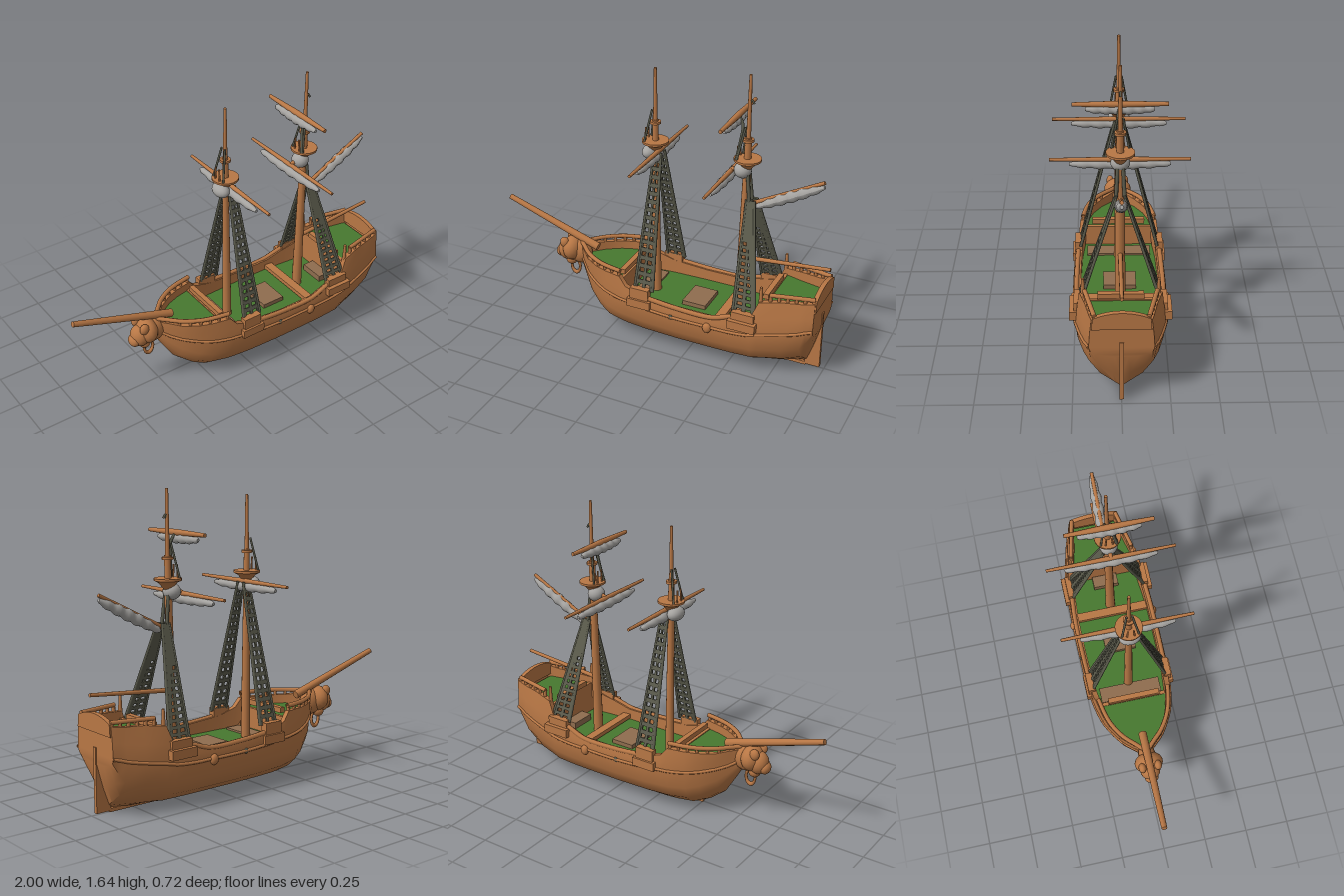
import * as THREE from 'three';
import { toCreasedNormals } from 'three/addons/utils/BufferGeometryUtils.js';

const material = (name, color, side = THREE.FrontSide) => {
  const m = new THREE.MeshStandardMaterial({ color, side });
  m.name = name;
  return m;
};
const V = (x, y, z) => new THREE.Vector3(x, y, z);

// Hull stations: x, rail half width, beam half width, beam y, keel y, rail y, sharpness
const STATIONS = [
  [-0.50, 0.02, 0.02, 0.36, 0.29, 0.42, 1], [-0.46, 0.065, 0.055, 0.33, 0.22, 0.42, 1],
  [-0.40, 0.125, 0.115, 0.31, 0.12, 0.41, 1.2], [-0.32, 0.175, 0.165, 0.29, 0.055, 0.41, 1],
  [-0.25, 0.20, 0.20, 0.28, 0.02, 0.41, 1], [-0.15, 0.22, 0.225, 0.27, 0.012, 0.41, 1],
  [-0.11, 0.227, 0.232, 0.27, 0.01, 0.36, 1], [0, 0.237, 0.242, 0.26, 0.01, 0.325, 1],
  [0.2, 0.242, 0.247, 0.25, 0.01, 0.31, 1], [0.42, 0.242, 0.247, 0.25, 0.01, 0.31, 1],
  [0.52, 0.235, 0.245, 0.25, 0.01, 0.34, 1], [0.64, 0.225, 0.24, 0.26, 0.01, 0.37, 1],
  [0.68, 0.215, 0.235, 0.27, 0.01, 0.465, 1.2], [0.80, 0.185, 0.21, 0.29, 0.012, 0.48, 1.6],
  [0.90, 0.165, 0.185, 0.31, 0.03, 0.485, 2.4], [0.93, 0.16, 0.175, 0.32, 0.12, 0.49, 2],
  [0.97, 0.15, 0.165, 0.33, 0.27, 0.495, 1]];
const BILGE = [[0.95, 0.6], [0.8, 0.32], [0.5, 0.12], [0.2, 0.03], [0, 0]];

function halfSection([, wt, w, ym, yk, yr, p]) {
  const wi = Math.max(wt - 0.03, 0.002);
  return [[wi, yr - 0.13], [wi, yr], [wt, yr], [(wt + w) / 2 + 0.002, (yr + ym) / 2], [w, ym],
    ...BILGE.map(([f, h]) => [w * f ** p, yk + (ym - yk) * h])];
}

function hullGeometry() {
  const pos = [], index = [];
  let n = 0;
  STATIONS.forEach((s, i) => {
    const half = halfSection(s);
    const ring = [...half, ...half.slice(0, -1).reverse().map(([z, y]) => [-z, y])];
    n = ring.length;
    ring.forEach(([z, y]) => pos.push(s[0], y, z));
    if (i) for (let j = 0; j < n - 1; j++) {
      const a = (i - 1) * n + j, b = a + n;
      index.push(a, a + 1, b, b, a + 1, b + 1);
    }
  });
  // transom closes the last section
  const o = (STATIONS.length - 1) * n, mid = (n - 1) / 2;
  for (let j = 2; j < mid; j++) {
    const a = o + j, b = o + n - 1 - j;
    index.push(a, a + 1, b);
    if (j < mid - 1) index.push(b, a + 1, b - 1);
  }
  const g = new THREE.BufferGeometry();
  g.setAttribute('position', new THREE.Float32BufferAttribute(pos, 3));
  g.setIndex(index);
  return toCreasedNormals(g, 0.75);
}

function railWidth(x) {
  const i = Math.max(1, STATIONS.findIndex(s => s[0] >= x));
  const a = STATIONS[i - 1], b = STATIONS[i];
  return THREE.MathUtils.lerp(a[1], b[1], (x - a[0]) / (b[0] - a[0]));
}

export function createModel() {
  const ship = new THREE.Group();
  ship.name = 'sailingShip';
  const wood = material('wood', 0xb87745, THREE.DoubleSide);
  const green = material('deckGreen', 0x47782f);
  const canvas = material('canvas', 0xa5a3a0);
  const rope = material('rope', 0x5b5b4c);
  const hatchWood = material('hatchWood', 0x8f6d4e);

  const add = (name, geo, mat, x = 0, y = 0, z = 0) => {
    const m = new THREE.Mesh(geo, mat);
    m.name = name;
    m.position.set(x, y, z);
    ship.add(m);
    return m;
  };
  const box = (name, mat, w, h, d, x, y, z) => add(name, new THREE.BoxGeometry(w, h, d), mat, x, y, z);
  const orient = (m, a, b) => {
    m.position.copy(a).add(b).multiplyScalar(0.5);
    m.quaternion.setFromUnitVectors(V(0, 1, 0), b.clone().sub(a).normalize());
  };
  const rod = (name, mat, a, b, ra, rb = ra) =>
    orient(add(name, new THREE.CylinderGeometry(rb, ra, a.distanceTo(b), 10), mat), a, b);
  const tube = (name, mat, pts, r) =>
    add(name, new THREE.TubeGeometry(new THREE.CatmullRomCurve3(pts), 40, r, 7), mat);
  const ball = (name, mat, x, y, z, sx, sy, sz) =>
    add(name, new THREE.SphereGeometry(1, 18, 12), mat, x, y, z).scale.set(sx, sy, sz);

  // Furled sail: a lumpy tapering roll
  function furledSail(name, a, b, r) {
    const len = a.distanceTo(b);
    const g = new THREE.CylinderGeometry(r, r, len, 12, 28);
    const p = g.attributes.position;
    for (let i = 0; i < p.count; i++) {
      const t = THREE.MathUtils.clamp(p.getY(i) / len + 0.5, 0, 1);
      const k = (0.3 + 0.7 * Math.sqrt(Math.max(0, Math.sin(Math.PI * t)))) * (1 + 0.13 * Math.sin(t * 38));
      p.setX(i, p.getX(i) * k);
      p.setZ(i, p.getZ(i) * k);
    }
    g.computeVertexNormals();
    orient(add(name, g, canvas), a, b);
  }

  // Hull, rudder and trim
  add('hull', hullGeometry(), wood);
  box('rudder', wood, 0.085, 0.35, 0.022, 0.933, 0.185, 0);
  box('keel', wood, 1.15, 0.02, 0.02, 0.32, 0.012, 0);
  const taffrail = new THREE.Shape();
  taffrail.moveTo(-0.15, 0.44);
  taffrail.lineTo(0.15, 0.44);
  taffrail.lineTo(0.145, 0.505);
  taffrail.quadraticCurveTo(0, 0.57, -0.145, 0.505);
  const taffGeo = new THREE.ExtrudeGeometry(taffrail, { depth: 0.025, bevelEnabled: false });
  add('taffrail', taffGeo.rotateY(Math.PI / 2), wood, 0.952);
  for (const s of [-1, 1]) {
    tube('wale', wood, STATIONS.map(q => V(q[0], q[3], s * q[2])), 0.009);
    tube('bulwarkCap', wood, STATIONS.slice(7, 12).map(q => V(q[0], q[5], s * (q[1] - 0.008))), 0.014);
    // fore railing
    const line = STATIONS.slice(0, 6).map(q => V(q[0], 0.437, s * Math.max(q[1] - 0.015, 0.01)));
    tube('foreRail', wood, line, 0.013);
    for (let i = 0; i < 6; i++) {
      const x = -0.41 + i * 0.05, z = s * (railWidth(x) - 0.015);
      rod('forePost', wood, V(x, 0.39, z), V(x, 0.44, z), 0.009);
    }
    // stern railing
    rod('sternRail', wood, V(0.73, 0.508, s * 0.185), V(0.965, 0.512, s * 0.135), 0.012);
    for (let i = 0; i < 6; i++) {
      const x = 0.735 + i * 0.045, z = s * (0.184 - i * 0.0095);
      rod('sternPost', wood, V(x, 0.46, z), V(x, 0.51, z), 0.01);
    }
    rod('cornerPost', wood, V(0.685, 0.42, s * 0.195), V(0.685, 0.55, s * 0.195), 0.014, 0.008);
    // channels holding the shrouds, and small side fittings
    box('foreChannel', wood, 0.14, 0.05, 0.05, -0.015, 0.285, s * 0.235);
    box('foreChannelBlock', wood, 0.11, 0.07, 0.04, -0.015, 0.34, s * 0.228);
    box('mainChannel', wood, 0.16, 0.05, 0.06, 0.6, 0.315, s * 0.238);
    box('mainChannelBlock', wood, 0.13, 0.06, 0.04, 0.6, 0.355, s * 0.225);
    for (const x of [0.18, 0.39]) ball('sidePort', rope, x, 0.25, s * 0.247, 0.015, 0.015, 0.008);
    ball('sideFender', wood, 0.40, 0.245, s * 0.25, 0.025, 0.03, 0.018);
  }

  // Decks and bulkheads
  function deck(name, x0, x1, y) {
    const pts = [];
    for (let i = 0; i <= 12; i++) {
      const x = x0 + (x1 - x0) * i / 12;
      pts.push(new THREE.Vector2(x, Math.max(railWidth(x) - 0.02, 0.005)));
    }
    const shape = new THREE.Shape([...pts, ...pts.map(p => new THREE.Vector2(p.x, -p.y)).reverse()]);
    const g = new THREE.ExtrudeGeometry(shape, { depth: 0.01, bevelEnabled: false });
    add(name, g.rotateX(-Math.PI / 2), green, 0, y - 0.01);
  }
  deck('foreDeck', -0.46, -0.17, 0.36);
  deck('mainDeck', -0.17, 0.69, 0.245);
  deck('sternDeck', 0.69, 0.955, 0.425);
  box('foreBulkhead', wood, 0.02, 0.13, 0.41, -0.165, 0.3, 0);
  box('foreDeckBeam', wood, 0.03, 0.03, 0.30, -0.165, 0.4, 0);
  box('sternBulkhead', wood, 0.02, 0.19, 0.4, 0.69, 0.335, 0);
  box('sternDeckBeam', wood, 0.03, 0.03, 0.24, 0.685, 0.45, 0);
  box('midBeam', wood, 0.05, 0.025, 0.45, 0.435, 0.265, 0);
  box('hatch', hatchWood, 0.14, 0.03, 0.18, 0.25, 0.255, 0);
  box('foreStep', hatchWood, 0.09, 0.012, 0.36, -0.075, 0.25, 0);
  box('sternStep', hatchWood, 0.07, 0.04, 0.15, 0.64, 0.262, 0);

  // Bowsprit and carved lion head
  rod('bowsprit', wood, V(-0.4, 0.425, 0), V(-0.995, 0.615, -0.015), 0.024, 0.016);
  ball('figureNeck', wood, -0.52, 0.37, 0, 0.075, 0.075, 0.05);
  ball('figureMane', wood, -0.565, 0.385, 0, 0.06, 0.075, 0.082);
  ball('figureHead', wood, -0.605, 0.365, 0, 0.055, 0.065, 0.058);
  ball('figureSnout', wood, -0.645, 0.345, 0, 0.03, 0.035, 0.04);
  ball('figureChin', wood, -0.58, 0.305, 0, 0.035, 0.035, 0.035);
  for (const s of [-1, 1]) ball('figureEar', wood, -0.6, 0.43, s * 0.045, 0.028, 0.032, 0.022);
  add('figureRing', new THREE.TorusGeometry(0.035, 0.01, 8, 18), wood, -0.555, 0.262).scale.set(0.8, 1.3, 1);

  // Masts with lookout platforms
  function mast(name, x0, x1, r, top) {
    rod(name, wood, V(x0, 0.2, 0), V(x1, 1.3, 0), r, r * 0.6);
    rod(name + 'Top', wood, V(x1, 1.26, 0), V(x1, top, 0), 0.013, 0.008);
    const profile = [[0.015, -0.055], [0.035, -0.03], [0.05, -0.012], [0.074, 0], [0.074, 0.012], [0.01, 0.012]];
    const g = new THREE.LatheGeometry(profile.map(p => new THREE.Vector2(...p)), 20);
    add(name + 'Platform', toCreasedNormals(g, 0.6), wood, x1, 1.17);
    add(name + 'Collar', new THREE.CylinderGeometry(0.03, 0.03, 0.014, 14), wood, x1, 1.285);
    for (const s of [-1, 1]) {
      rod(name + 'Stay', rope, V(x1 - 0.045, 1.18, s * 0.045), V(x1 - 0.012, 1.36, s * 0.015), 0.006);
      rod(name + 'Brace', wood, V(x1 - 0.05, 1.18, s * 0.02), V(x1 - 0.05, 1.25, s * 0.015), 0.005);
    }
  }
  mast('foreMast', -0.02, -0.03, 0.027, 1.595);
  mast('mainMast', 0.49, 0.505, 0.03, 1.645);

  // Yards with furled sails
  function yard(name, x, y, half, r) {
    for (const s of [-1, 1]) rod(name, wood, V(x, y, 0), V(x, y, s * half), r * 1.25, r * 0.75);
    furledSail(name + 'Sail', V(x - 0.008, y - 0.03, -half * 0.72), V(x - 0.008, y - 0.03, half * 0.72), 0.027);
  }
  yard('foreYard', -0.005, 1.125, 0.36, 0.011);
  yard('mainYard', 0.415, 1.095, 0.36, 0.011);
  yard('topYard', 0.445, 1.415, 0.24, 0.014);
  ball('foreSailBunt', canvas, -0.06, 1.11, 0, 0.042, 0.04, 0.06);
  ball('mainSailBunt', canvas, 0.48, 1.11, 0, 0.048, 0.045, 0.05);
  rod('mainYardSling', wood, V(0.415, 1.1, 0), V(0.5, 1.13, 0), 0.012);
  tube('topYardSling', rope, [V(0.445, 1.42, 0), V(0.475, 1.37, 0.01), V(0.47, 1.29, 0.02), V(0.455, 1.18, 0.04)], 0.008);
  tube('topHook', rope, [V(0.505, 1.45, 0), V(0.515, 1.51, 0), V(0.53, 1.49, 0)], 0.006);

  // Gaff, its sail, and the boom
  rod('gaff', wood, V(0.52, 0.915, 0), V(0.93, 1.13, 0), 0.012, 0.01);
  furledSail('gaffSail', V(0.56, 0.91, 0), V(0.93, 1.105, 0), 0.03);
  rod('boom', wood, V(0.49, 0.585, 0), V(0.995, 0.632, 0), 0.013, 0.01);

  // Shrouds: pierced nets sloping from each side to the mast
  function shroud(name, b0, b1, t0, t1, yb, yt) {
    const zb = 0.215, zt = 0.022, len = Math.hypot(yt - yb, zb - zt), rows = 17;
    const at = (u, v) => new THREE.Vector2(
      THREE.MathUtils.lerp(b0 + (b1 - b0) * u, t0 + (t1 - t0) * u, v), v * len);
    const outline = new THREE.Shape([at(0, 0), at(1, 0), at(1, 1), at(0, 1)]);
    for (let i = 0; i < rows; i++) for (const u of [0.16, 0.58]) {
      const v = (i + 0.25) / rows, w = (i + 0.75) / rows;
      outline.holes.push(new THREE.Path([at(u, v), at(u, w), at(u + 0.26, w), at(u + 0.26, v)]));
    }
    for (const s of [-1, 1]) {
      const g = new THREE.ExtrudeGeometry(outline, { depth: 0.01, bevelEnabled: false });
      g.translate(0, 0, -0.005).rotateX(-s * Math.atan2(zb - zt, yt - yb));
      add(name, g, rope, 0, yb, s * zb);
      for (const [b, t] of [[b0, t0], [b1, t1]]) rod(name + 'Edge', rope, V(b, yb, s * zb), V(t, yt, s * zt), 0.009, 0.007);
    }
  }
  shroud('foreShroud', -0.055, 0.055, -0.025, 0.015, 0.36, 1.12);
  shroud('mainShroud', 0.535, 0.66, 0.515, 0.56, 0.37, 0.95);
  for (const s of [-1, 1]) rod('mainStay', rope, V(0.53, 0.94, s * 0.022), V(0.51, 1.13, s * 0.012), 0.01);
  return ship;
}
